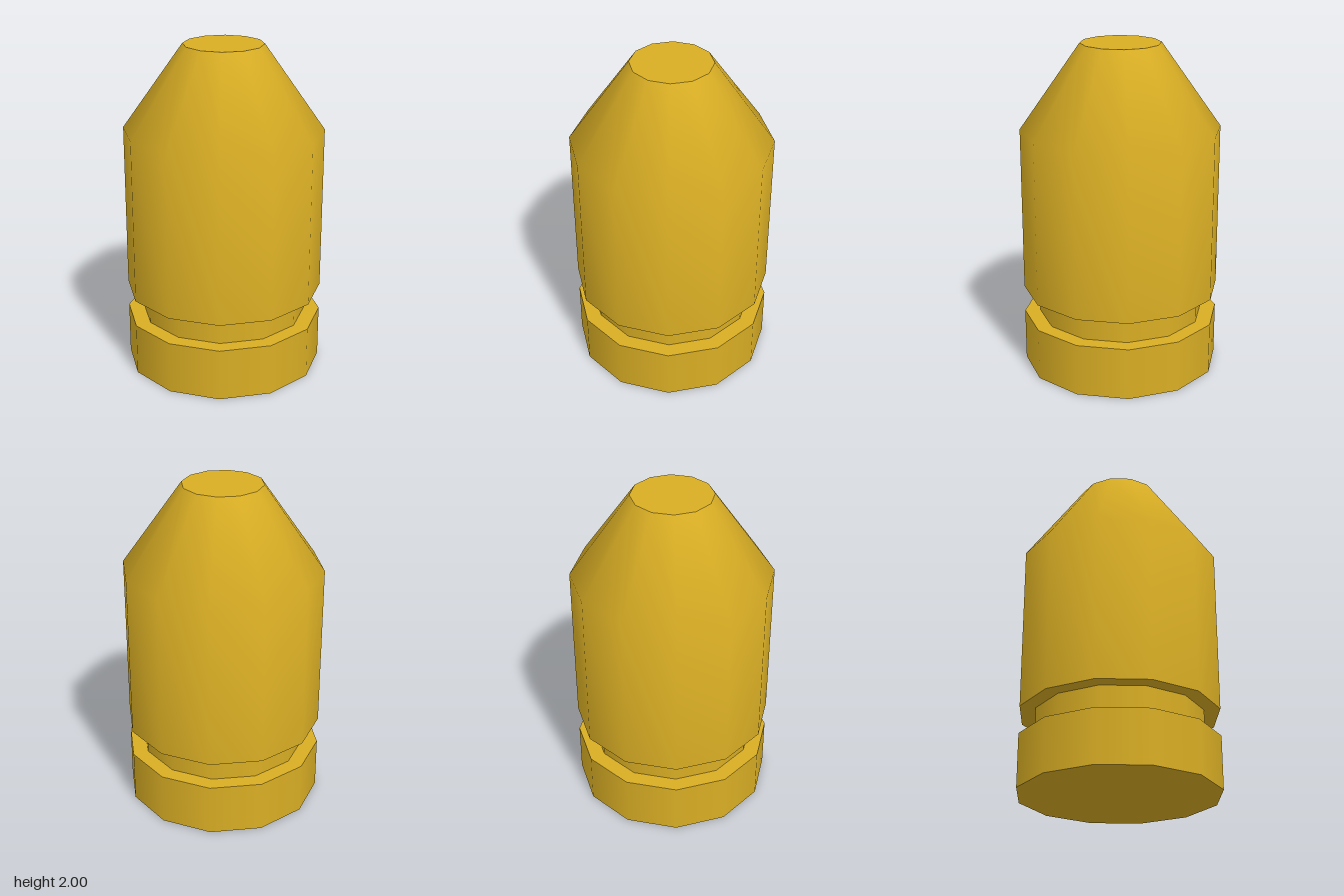
import * as THREE from 'three';

const SIDES = 12;

export function createModel() {
  const model = new THREE.Group();
  model.name = 'bullet';
  const brass = new THREE.MeshStandardMaterial({ color: 0xd9ae24 });
  brass.name = 'brass';

  // Each profile is turned separately, so edges between profiles stay sharp.
  const turn = (name, profile) => {
    const points = profile.map(([r, y]) => new THREE.Vector2(r, y));
    const mesh = new THREE.Mesh(new THREE.LatheGeometry(points, SIDES), brass);
    mesh.name = name;
    model.add(mesh);
  };

  const R = 0.6, GROOVE_R = 0.505, TIP_R = 0.24;
  const RIM_Y = 0.32, CASE_Y = 0.485, SHOULDER_Y = 1.49, TOP_Y = 2;

  // Rim at the base
  turn('rimBottom', [[0, 0], [R, 0]]);
  turn('rimSide', [[R, 0], [R, RIM_Y]]);
  turn('rimTop', [[R, RIM_Y], [GROOVE_R, RIM_Y]]);

  // Extractor groove
  turn('groove', [[GROOVE_R, RIM_Y], [GROOVE_R, CASE_Y]]);

  // Body flowing smoothly into the tapered nose
  turn('bodyUnderside', [[GROOVE_R, CASE_Y], [R, CASE_Y]]);
  turn('bodyAndNose', [[R, CASE_Y], [R, SHOULDER_Y], [TIP_R, TOP_Y]]);
  turn('flatTip', [[TIP_R, TOP_Y], [0, TOP_Y]]);

  return model;
}
